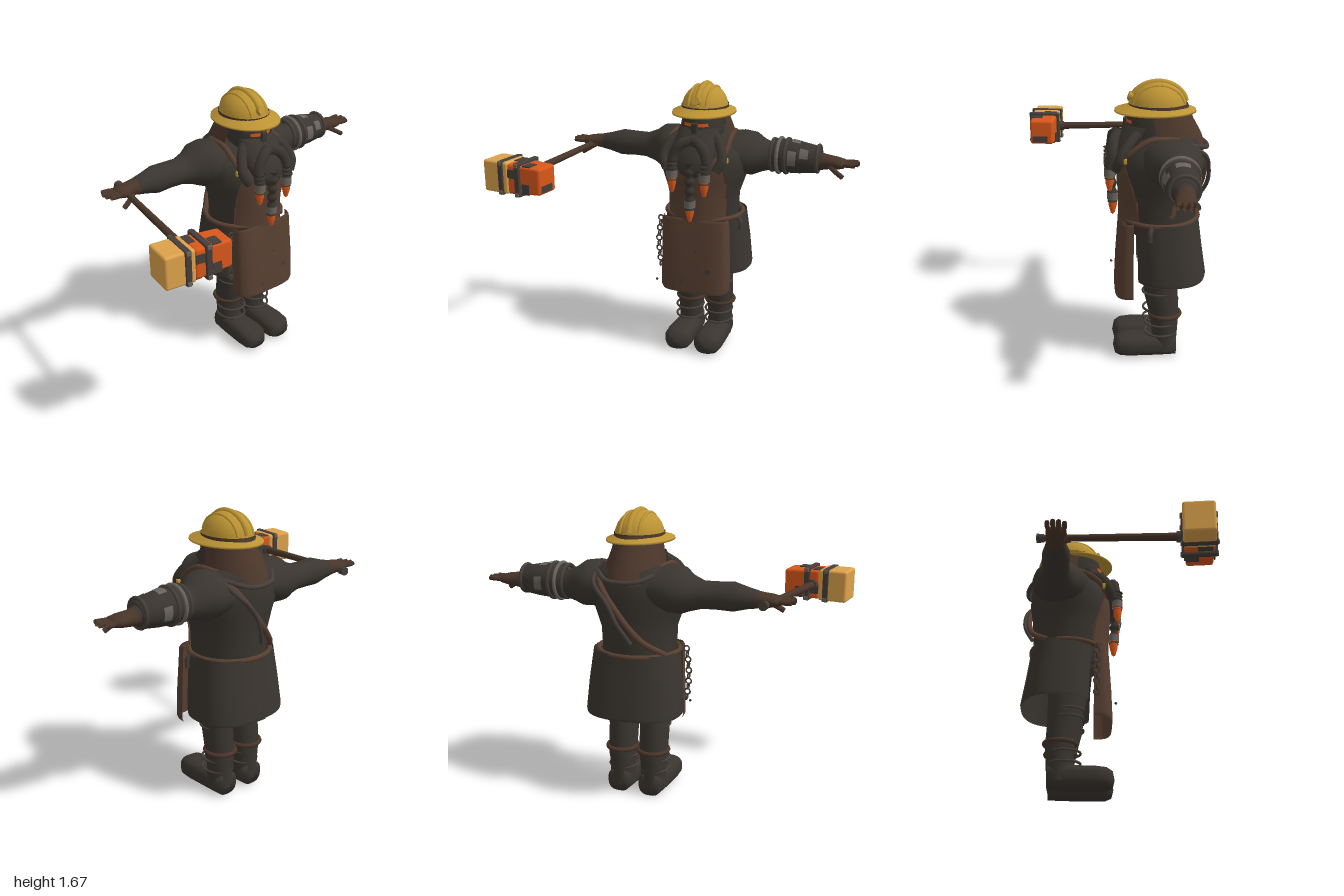
import * as THREE from 'three';
import { RoundedBoxGeometry } from 'three/addons/geometries/RoundedBoxGeometry.js';

const V = (x, y, z) => new THREE.Vector3(x, y, z);

function makeMaterials() {
  const hex = {
    charcoalCloth: 0x3a352f, apronLeather: 0x573f31, hoodLeather: 0x4d382c, gloveLeather: 0x493529,
    helmetYellow: 0xbd9434, glowOrange: 0xd9571a, hammerYellow: 0xdda24c, dullSteel: 0x69635d, darkIron: 0x453e39,
  };
  const out = {};
  for (const name in hex) {
    out[name] = new THREE.MeshStandardMaterial({ color: hex[name], side: THREE.DoubleSide });
    out[name].name = name;
  }
  return out;
}

// Skin over elliptical rings [t, a, b, ra, rb, half] placed along an axis; half < PI gives an open panel.
function loft(rings, { axis = 'y', mid = 0, half = Math.PI, n = 28, p = 1 } = {}) {
  const pos = [], idx = [], closed = half >= Math.PI, cols = closed ? n : n + 1;
  const pw = (v) => Math.sign(v) * Math.abs(v) ** p;
  for (const [t, a, b, ra, rb, h = half] of rings) {
    for (let j = 0; j < cols; j++) {
      const q = mid - h + (2 * h * j) / n, c = pw(Math.cos(q)), s = pw(Math.sin(q));
      if (axis === 'y') pos.push(a + ra * c, t, b + rb * s);
      else if (axis === 'x') pos.push(t, a + ra * s, b + rb * c);
      else pos.push(a + ra * s, b + rb * c, t);
    }
  }
  for (let i = 0; i < rings.length - 1; i++) {
    for (let j = 0; j < n; j++) {
      const k = (j + 1) % cols, a = i * cols + j, b = i * cols + k;
      idx.push(a, a + cols, b, b, a + cols, b + cols);
    }
  }
  const g = new THREE.BufferGeometry();
  g.setAttribute('position', new THREE.Float32BufferAttribute(pos, 3));
  g.setIndex(idx);
  g.computeVertexNormals();
  return g;
}

const tube = (pts, r, closed = false) =>
  new THREE.TubeGeometry(new THREE.CatmullRomCurve3(pts, closed), closed ? 48 : 28, r, 8, closed);

// Closed hoop round a vertical axis
const hoop = (y, z, rx, rz, r, x = 0) => tube(Array.from({ length: 16 }, (_, i) => {
  const q = (i / 16) * Math.PI * 2;
  return V(x + rx * Math.cos(q), y, z + rz * Math.sin(q));
}), r, true);

export function createModel() {
  const M = makeMaterials();
  const root = new THREE.Group();
  root.name = 'hammerSmith';
  const body = new THREE.Group();
  body.name = 'body';
  body.position.x = 0.075;
  root.add(body);
  const add = (parent, name, geo, mat, x = 0, y = 0, z = 0) => {
    const m = new THREE.Mesh(geo, mat);
    m.name = name;
    m.position.set(x, y, z);
    parent.add(m);
    return m;
  };

  // Torso and head
  add(body, 'torso', loft([[0.78, 0, -0.27, 0.2, 0.19], [0.88, 0, -0.25, 0.21, 0.22], [1.0, 0, -0.25, 0.215, 0.225],
    [1.1, 0, -0.25, 0.25, 0.235], [1.2, 0, -0.255, 0.285, 0.245], [1.28, 0, -0.27, 0.285, 0.225],
    [1.35, 0, -0.3, 0.22, 0.175], [1.39, 0, -0.3, 0.12, 0.12], [1.4, 0, -0.3, 0, 0]]), M.charcoalCloth);
  add(body, 'head', loft([[1.28, 0, -0.2, 0.11, 0.12], [1.38, 0, -0.21, 0.125, 0.15], [1.46, 0, -0.21, 0.12, 0.145],
    [1.53, 0, -0.22, 0.115, 0.14]]), M.charcoalCloth);
  add(body, 'eyeSlit', loft([[1.43, 0, -0.21, 0.126, 0.15], [1.45, 0, -0.21, 0.125, 0.15]],
    { mid: Math.PI / 2, half: 0.62 }), M.glowOrange);
  add(body, 'nosePlate', new RoundedBoxGeometry(0.04, 0.07, 0.03, 2, 0.01), M.charcoalCloth, 0, 1.42, -0.06);
  add(body, 'neckGuard', loft([[1.28, 0, -0.3, 0.18, 0.215], [1.36, 0, -0.285, 0.165, 0.205], [1.45, 0, -0.26, 0.14, 0.18],
    [1.53, 0, -0.245, 0.125, 0.165]], { mid: -Math.PI / 2, half: 1.85 }), M.hoodLeather);

  // Beard, moustache and three capped braids
  add(body, 'beard', loft([[1.13, 0, 0.0, 0, 0], [1.16, 0, 0.0, 0.06, 0.04], [1.22, 0, -0.02, 0.11, 0.07],
    [1.29, 0, -0.06, 0.135, 0.085], [1.36, 0, -0.1, 0.13, 0.085], [1.42, 0, -0.15, 0.12, 0.08]]), M.charcoalCloth);
  for (const s of [-1, 1]) {
    add(body, 'moustache', tube([V(0, 1.36, -0.02), V(s * 0.06, 1.34, 0.01), V(s * 0.1, 1.27, 0.02), V(s * 0.105, 1.18, 0.035)], 0.032), M.charcoalCloth);
    add(body, 'sideLock', tube([V(s * 0.1, 1.38, -0.12), V(s * 0.16, 1.32, -0.06), V(s * 0.18, 1.25, -0.02), V(s * 0.15, 1.19, 0.0)], 0.03), M.charcoalCloth);
  }
  for (const [x, top, end, z] of [[-0.105, 1.25, 1.05, 0.035], [0.095, 1.25, 1.04, 0.035], [0, 1.24, 0.87, 0.03]]) {
    const mid = end + 0.08, rings = [], zEnd = z - (x === 0 ? 0.015 : 0);
    for (let i = 0; i <= 24; i++) {
      const f = i / 24, r = 0.024 + 0.006 * Math.cos(f * Math.PI * 10) + 0.004 * f;
      rings.push([mid + (top - mid) * f, x, zEnd + (z - zEnd) * f, r, r]);
    }
    add(body, 'braid', loft(rings, { n: 14 }), M.charcoalCloth);
    add(body, 'braidCap', loft([[mid + 0.015, x, zEnd, 0.033, 0.033], [mid + 0.06, x, zEnd, 0.033, 0.033]], { n: 14 }), M.dullSteel);
    add(body, 'braidTip', loft([[end, x, zEnd, 0, 0], [end + 0.01, x, zEnd, 0.012, 0.012], [mid - 0.02, x, zEnd, 0.025, 0.025],
      [mid + 0.02, x, zEnd, 0.024, 0.024]], { n: 14 }), M.glowOrange);
  }

  // Brimmed helmet with ribs, band and badge
  const helmet = new THREE.Group();
  helmet.name = 'helmet';
  body.add(helmet);
  const dome = [0, 0.25, 0.5, 0.75, 1, 1.25, 1.45, Math.PI / 2].map((q) =>
    [1.515 + 0.14 * Math.sin(q), 0, -0.24, 0.135 * Math.cos(q), 0.162 * Math.cos(q)]);
  add(helmet, 'dome', loft(dome, { n: 36 }), M.helmetYellow);
  add(helmet, 'brim', loft([[1.51, 0, -0.24, 0.11, 0.14], [1.492, 0, -0.225, 0.175, 0.222], [1.489, 0, -0.225, 0.186, 0.232],
    [1.5, 0, -0.225, 0.184, 0.23], [1.518, 0, -0.235, 0.14, 0.17], [1.535, 0, -0.24, 0.13, 0.158]], { n: 40 }), M.helmetYellow);
  add(helmet, 'band', loft([[1.518, 0, -0.24, 0.139, 0.166], [1.535, 0, -0.24, 0.138, 0.165]], { n: 36 }), M.hoodLeather);
  for (const [x, r] of [[-0.055, 0.009], [0, 0.018], [0.055, 0.009]]) {
    const f = Math.sqrt(1 - (x / 0.135) ** 2);
    add(helmet, 'rib', tube(Array.from({ length: 11 }, (_, i) => {
      const q = 0.2 + (i / 10) * (Math.PI - 0.4);
      return V(x, 1.515 + 0.137 * f * Math.sin(q), -0.24 + 0.16 * f * Math.cos(q));
    }), r), M.helmetYellow);
  }
  const badge = add(helmet, 'badge', new THREE.CylinderGeometry(0.024, 0.026, 0.025, 16), M.helmetYellow, 0, 1.575, -0.085);
  badge.rotation.x = 1.2;

  // Apron, belt, overskirt and straps
  const front = Math.PI / 2;
  add(body, 'apronBib', loft([[0.86, 0, -0.25, 0.218, 0.232, 1.05], [1.0, 0, -0.25, 0.222, 0.235, 1.0],
    [1.1, 0, -0.25, 0.257, 0.243, 0.85], [1.2, 0, -0.255, 0.292, 0.252, 0.65], [1.26, 0, -0.265, 0.293, 0.24, 0.55]], { mid: front }), M.apronLeather);
  add(body, 'apronFlap', loft([[0.41, 0.005, -0.1, 0.205, 0.105], [0.43, 0.005, -0.1, 0.215, 0.107], [0.6, 0.005, -0.1, 0.214, 0.1],
    [0.86, 0.0, -0.1, 0.208, 0.082], [0.875, 0, -0.1, 0.2, 0.07]], { mid: front, half: Math.PI / 2, p: 0.55, n: 40 }), M.apronLeather);
  for (const [x, y, r] of [[0.11, 0.56, 0.018], [-0.06, 0.48, 0.012], [0.03, 0.68, 0.01]])
    add(body, 'apronHole', new THREE.CircleGeometry(r, 14), M.darkIron, x, y, 0.008 - (y - 0.41) * 0.04);
  for (const s of [-1, 1]) {
    const o = s > 0 ? 0.008 : 0;
    add(body, 'skirtPanel', loft([[0.51, 0, -0.315, 0.272 + o, 0.208 + o], [0.53, 0, -0.315, 0.275 + o, 0.212 + o],
      [0.7, 0, -0.3, 0.262 + o, 0.2 + o], [0.88, 0, -0.28, 0.24 + o, 0.195 + o]],
    { mid: s > 0 ? -0.35 : Math.PI + 0.35, half: 1.3, p: 0.8 }), M.charcoalCloth);
    add(body, 'shoulderStrap', tube([V(s * 0.14, 1.2, -0.02), V(s * 0.18, 1.28, -0.07), V(s * 0.18, 1.36, -0.19), V(s * 0.16, 1.36, -0.35)], 0.016), M.apronLeather);
    add(body, 'strapBuckle', new RoundedBoxGeometry(0.03, 0.03, 0.02, 2, 0.005), M.helmetYellow, s * 0.195, 1.25, -0.05);
  }
  add(body, 'belt', hoop(0.872, -0.26, 0.235, 0.222, 0.015), M.apronLeather);
  add(body, 'beltPouchTie', tube([V(0.23, 0.87, -0.2), V(0.25, 0.84, -0.19), V(0.25, 0.79, -0.19)], 0.014), M.darkIron);
  add(body, 'backStrap', tube([V(0.17, 1.36, -0.25), V(0.15, 1.29, -0.46), V(0.03, 1.13, -0.505), V(-0.1, 0.97, -0.475), V(-0.2, 0.88, -0.38)], 0.017), M.apronLeather);
  add(body, 'backCord', tube([V(0.2, 1.36, -0.35), V(0.17, 1.28, -0.49), V(0.07, 1.17, -0.53), V(0.02, 1.07, -0.53), V(-0.04, 0.95, -0.48)], 0.012), M.darkIron);
  add(body, 'backCordLoop', tube([V(0.2, 1.34, -0.38), V(0.08, 1.3, -0.51), V(-0.08, 1.3, -0.5), V(-0.16, 1.33, -0.42)], 0.014), M.darkIron);

  // Hip chain
  for (let i = 0; i < 10; i++) {
    const link = add(body, 'chainLink', new THREE.TorusGeometry(0.017, 0.005, 6, 12), M.darkIron, -0.225 - 0.015 * Math.sin(i / 3), 0.84 - i * 0.033, -0.09);
    link.rotation.y = (i % 2) * (Math.PI / 2);
  }
  add(body, 'chainBead', new THREE.SphereGeometry(0.008, 8, 6), M.darkIron, -0.21, 0.48, 0.02);

  // Legs and strapped boots
  for (const s of [-1, 1]) {
    const x = s * 0.097;
    add(body, 'leg', loft([[0.04, x, -0.29, 0.076, 0.075], [0.18, x, -0.295, 0.076, 0.078], [0.27, x, -0.29, 0.084, 0.088],
      [0.4, x, -0.27, 0.084, 0.1], [0.6, x, -0.26, 0.092, 0.11], [0.84, x, -0.26, 0.09, 0.12]]), M.charcoalCloth);
    add(body, 'boot', loft([[-0.362, x, 0.07, 0, 0], [-0.362, x, 0.07, 0.068, 0.068], [-0.26, x, 0.07, 0.078, 0.07], [-0.1, x, 0.069, 0.087, 0.069],
      [-0.03, x, 0.066, 0.082, 0.064], [0.005, x, 0.062, 0.058, 0.047], [0.017, x, 0.06, 0, 0]], { axis: 'z', p: 0.75 }), M.charcoalCloth);
    add(body, 'bootCuff', hoop(0.27, -0.295, 0.085, 0.088, 0.014, x), M.gloveLeather);
    for (const [y, z] of [[0.15, -0.27], [0.215, -0.27], [0.42, -0.255], [0.47, -0.255]])
      add(body, 'bootStrap', hoop(y, z, 0.084, 0.094, 0.007, x), M.darkIron);
  }

  // Arms and gloved hands, mirrored
  for (const s of [-1, 1]) {
    const arm = new THREE.Group();
    arm.name = s > 0 ? 'leftArm' : 'rightArm';
    body.add(arm);
    const along = (rings, opt = {}) => loft(rings.map(([t, ...r]) => [s * t, ...r]).sort((a, b) => a[0] - b[0]), { axis: 'x', ...opt });
    add(arm, 'sleeve', along([[0.12, 1.25, -0.3, 0.11, 0.17], [0.22, 1.245, -0.31, 0.132, 0.175], [0.29, 1.24, -0.32, 0.128, 0.15],
      [0.34, 1.232, -0.33, 0.1, 0.11], [0.41, 1.228, -0.335, 0.076, 0.083], [0.5, 1.23, -0.335, 0.076, 0.08], [0.58, 1.23, -0.33, 0.08, 0.08],
      [0.66, 1.228, -0.33, 0.058, 0.062], [0.71, 1.226, -0.33, 0.048, 0.053]]), M.charcoalCloth);
    add(arm, 'gloveCuff', along([[0.69, 1.226, -0.33, 0.05, 0.056], [0.74, 1.226, -0.33, 0.042, 0.05], [0.79, 1.225, -0.325, 0.036, 0.058],
      [0.83, 1.225, -0.325, 0.026, 0.056], [0.85, 1.225, -0.325, 0, 0]]), M.gloveLeather);
    for (let i = 0; i < 4; i++) {
      const z = -0.372 + i * 0.031, tip = 0.92 - Math.abs(i - 1.4) * 0.014;
      add(arm, 'finger', tube([V(s * 0.8, 1.226, -0.35 + i * 0.018), V(s * 0.86, 1.228, z), V(s * tip, 1.23, z)], 0.0135), M.gloveLeather);
    }
    add(arm, 'thumb', tube([V(s * 0.74, 1.215, -0.3), V(s * 0.785, 1.19, -0.27), V(s * 0.835, 1.16, -0.255)], 0.0145), M.gloveLeather);
    if (s < 0) continue;
    // Armoured left forearm
    add(arm, 'vambrace', along([[0.4, 1.24, -0.33, 0.085, 0.088], [0.42, 1.24, -0.33, 0.1, 0.102], [0.5, 1.24, -0.33, 0.1, 0.1],
      [0.57, 1.238, -0.33, 0.095, 0.094], [0.68, 1.235, -0.33, 0.078, 0.078], [0.69, 1.235, -0.33, 0.05, 0.06]]), M.charcoalCloth);
    for (const [t, r, m] of [[0.405, 0.094, M.darkIron], [0.445, 0.103, M.dullSteel], [0.49, 0.101, M.darkIron], [0.675, 0.078, M.darkIron]]) {
      add(arm, 'vambraceRing', new THREE.TorusGeometry(r, 0.011, 8, 32), m, t, 1.24, -0.33).rotation.y = Math.PI / 2;
    }
    for (const [t, mid, half] of [[0.51, 0.1, 0.45], [0.52, 1.6, 0.4], [0.58, 0.45, 0.3], [0.53, 3.2, 0.4]])
      add(arm, 'steelPatch', along([[t, 1.24, -0.33, 0.102, 0.102], [t + 0.05, 1.237, -0.33, 0.099 - (t - 0.5) * 0.06, 0.099 - (t - 0.5) * 0.06]], { mid, half }), M.dullSteel);
  }

  // Sledgehammer held in the right hand
  const a = V(-0.69, 1.215, -0.42), b = V(-0.79, 1.18, 0.4), dir = b.clone().sub(a);
  const handle = new THREE.Group();
  handle.name = 'hammerHandle';
  handle.position.copy(a);
  handle.quaternion.setFromUnitVectors(V(0, 1, 0), dir.clone().normalize());
  root.add(handle);
  add(handle, 'shaft', new THREE.CylinderGeometry(0.023, 0.017, dir.length(), 14), M.gloveLeather, 0, dir.length() / 2);
  add(handle, 'pommel', new THREE.CylinderGeometry(0.022, 0.026, 0.04, 12), M.darkIron, 0, 0.01);
  add(handle, 'collar', new THREE.CylinderGeometry(0.03, 0.03, 0.04, 12), M.darkIron, 0, dir.length() - 0.06);

  const head = new THREE.Group();
  head.name = 'hammerHead';
  head.position.set(-0.81, 1.18, 0.438);
  head.rotation.y = -0.12;
  root.add(head);
  add(head, 'yellowBlock', new RoundedBoxGeometry(0.17, 0.185, 0.175, 3, 0.014), M.hammerYellow, -0.1, 0, 0);
  add(head, 'core', new RoundedBoxGeometry(0.14, 0.15, 0.15, 2, 0.01), M.darkIron, 0.0, 0, 0);
  const orange = new RoundedBoxGeometry(0.22, 0.175, 0.17, 3, 0.018);
  const op = orange.attributes.position;
  for (let i = 0; i < op.count; i++) {
    const k = 1 - 0.12 * (op.getX(i) / 0.22 + 0.5);
    op.setXYZ(i, op.getX(i), op.getY(i) * k, op.getZ(i) * k);
  }
  add(head, 'orangeBlock', orange, M.glowOrange, 0.09, 0, 0);
  for (const x of [-0.06, 0.055]) {
    add(head, 'ironBand', new RoundedBoxGeometry(0.034, 0.196, 0.194, 2, 0.006), M.darkIron, x, 0, 0);
    for (const s of [-1, 1]) for (const t of [-1, 1])
      add(head, 'bandBolt', new RoundedBoxGeometry(0.024, 0.024, 0.024, 2, 0.004), M.dullSteel, x, s * 0.085, t * 0.09);
  }
  for (const s of [-1, 1]) {
    add(head, 'wornPatch', new THREE.BoxGeometry(0.05, 0.06, 0.008), M.darkIron, 0.105, -0.05, s * 0.08);
    add(head, 'wornPatch', new THREE.BoxGeometry(0.05, 0.05, 0.008), M.darkIron, 0.01, 0.03 * s, s * 0.083);
    add(head, 'wornPatch', new THREE.BoxGeometry(0.05, 0.008, 0.07), M.darkIron, 0.11, s * 0.082, 0.04 * s);
    add(head, 'wornPatch', new THREE.BoxGeometry(0.045, 0.008, 0.08), M.darkIron, 0.0, s * 0.086, -0.03 * s);
  }
  add(head, 'wornPatch', new THREE.BoxGeometry(0.006, 0.04, 0.1), M.darkIron, 0.198, -0.045, 0.01);
  return root;
}
